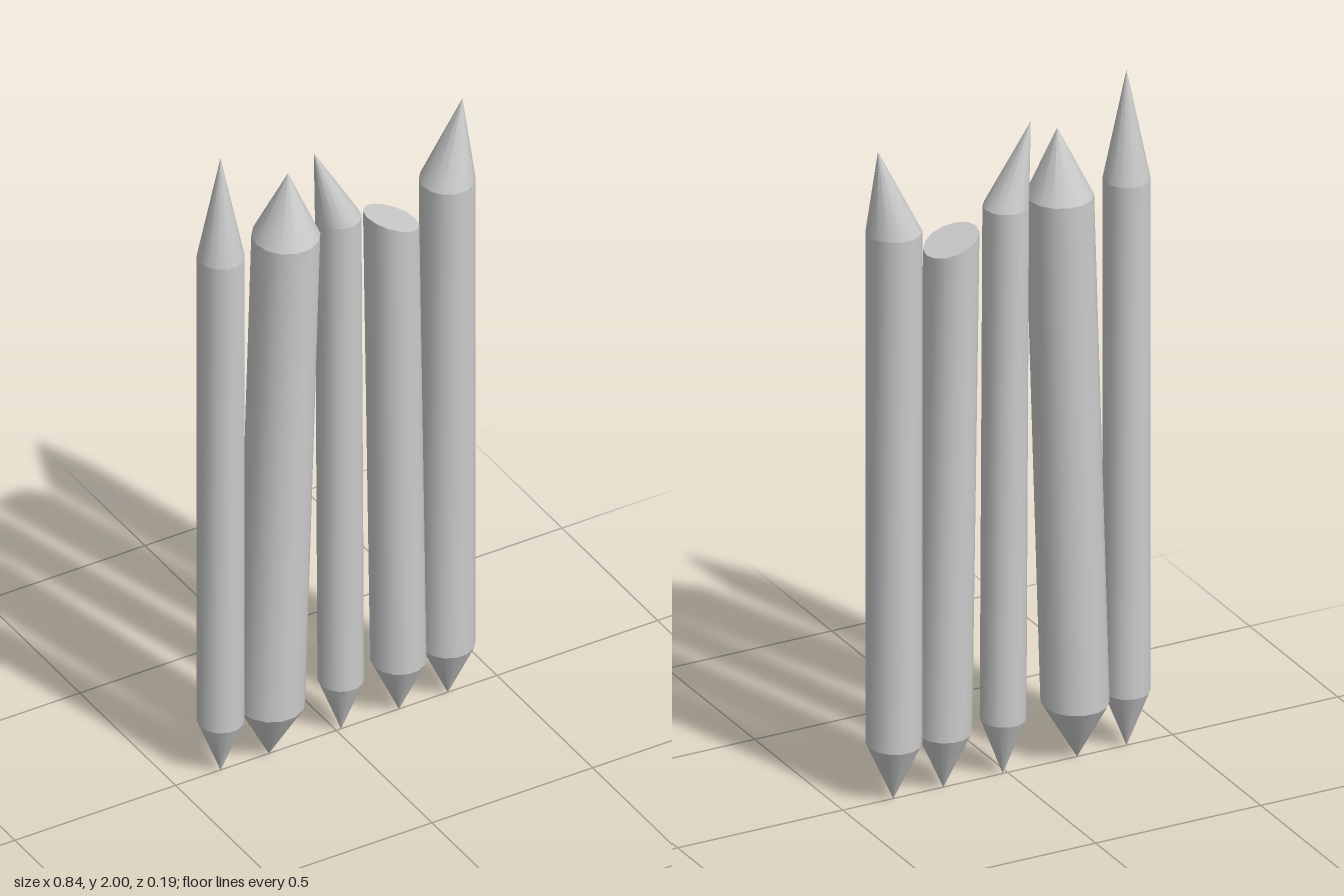
import * as THREE from 'three';
import { toCreasedNormals } from 'three/addons/utils/BufferGeometryUtils.js';

const SIDES = 14;
const BOTTOM = 0.165; // height where the lower points end
const DEPTH = 1.04;   // stakes are slightly deeper than wide

// Each stake: radius, x of lower tip, x of lower rim, top rim [x, y], upper tip [x, y] or a cut slope
const stakes = [
  { name: 'rightOuterStake', r: 0.064, tipX: -0.36, baseX: -0.36, top: [-0.36, 1.68], tip: [-0.36, 2.0] },
  { name: 'rightInnerStake', r: 0.092, tipX: -0.21, baseX: -0.204, top: [-0.157, 1.677], tip: [-0.15, 1.875] },
  { name: 'middleStake', r: 0.062, tipX: 0.015, baseX: 0.014, top: [0.006, 1.68], tip: [-0.07, 1.912] },
  { name: 'leftInnerStake', r: 0.075, tipX: 0.195, baseX: 0.193, top: [0.171, 1.613], slope: -0.374 },
  { name: 'leftOuterStake', r: 0.0755, tipX: 0.347, baseX: 0.345, top: [0.345, 1.68], tip: [0.393, 1.925] },
];

const material = new THREE.MeshStandardMaterial({ color: 0xcccccc });

// Cylinder or cone sheared between two centres, with an optional slanted top
function section(name, [x0, y0], [x1, y1], r0, r1, { closed = false, slope = 0 } = {}) {
  const geo = new THREE.CylinderGeometry(r1, r0, 1, SIDES, 1, !closed, Math.PI / 2);
  const p = geo.attributes.position;
  for (let i = 0; i < p.count; i++) {
    const t = p.getY(i) + 0.5;
    const x = p.getX(i);
    p.setXYZ(i,
      x + THREE.MathUtils.lerp(x0, x1, t),
      THREE.MathUtils.lerp(y0, y1, t) + slope * x * t,
      p.getZ(i) * DEPTH);
  }
  const mesh = new THREE.Mesh(toCreasedNormals(geo, 0.8), material);
  mesh.name = name;
  return mesh;
}

export function createModel() {
  const model = new THREE.Group();
  model.name = 'stakeFence';
  for (const { name, r, tipX, baseX, top, tip, slope } of stakes) {
    const stake = new THREE.Group();
    stake.name = name;
    const base = [baseX, BOTTOM];
    // Buried point and leaning shaft
    stake.add(section('lowerPoint', [tipX, 0], base, 0, r));
    stake.add(section('shaft', base, top, r, r, { closed: !tip, slope }));
    // Sharpened top, missing on the cut stake
    if (tip) stake.add(section('upperPoint', top, tip, r, 0));
    model.add(stake);
  }
  return model;
}
